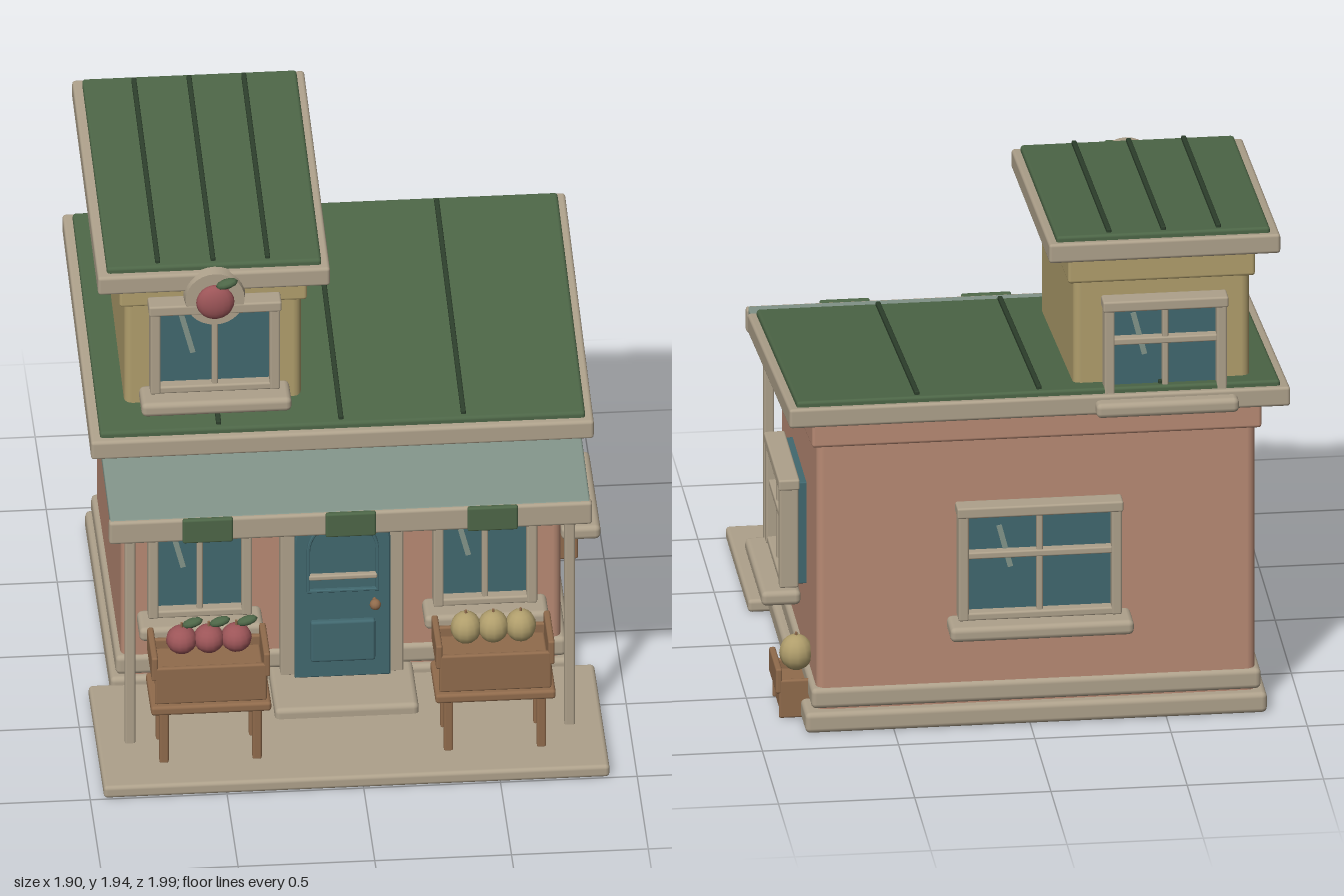
import * as THREE from 'three';
import { RoundedBoxGeometry } from 'three/addons/geometries/RoundedBoxGeometry.js';

const mat = (name, color, side = THREE.FrontSide) => {
  const m = new THREE.MeshStandardMaterial({ color, side });
  m.name = name;
  return m;
};

export function createModel() {
  const wallPink = mat('pink plaster', 0xb88a74);
  const wallYellow = mat('straw yellow', 0xb09e6c);
  const trim = mat('stone trim', 0xaea18b);
  const green = mat('roof green', 0x4d6647);
  const seam = mat('dark green', 0x2d3f2c);
  const awningGrey = mat('pale sage', 0x83958a, THREE.DoubleSide);
  const teal = mat('deep teal', 0x41686f);
  const wood = mat('wood brown', 0x906b4c);
  const red = mat('fruit red', 0x9c5558);

  const root = new THREE.Group();
  const group = (name, parent = root) => {
    const g = new THREE.Group();
    g.name = name;
    parent.add(g);
    return g;
  };
  const add = (parent, name, geo, material, x = 0, y = 0, z = 0) => {
    const m = new THREE.Mesh(geo, material);
    m.name = name;
    m.position.set(x, y, z);
    parent.add(m);
    return m;
  };
  // Softly bevelled box given by its min/max ranges
  const box = (parent, name, material, [x0, x1], [y0, y1], [z0, z1], r = 0.008) => {
    const w = x1 - x0, h = y1 - y0, d = z1 - z0;
    const geo = new RoundedBoxGeometry(w, h, d, 2, Math.min(r, w * 0.45, h * 0.45, d * 0.45));
    return add(parent, name, geo, material, (x0 + x1) / 2, (y0 + y1) / 2, (z0 + z1) / 2);
  };
  // Box whose height rises towards the back by the given slope; y range is at mid depth
  const sloped = (parent, name, material, xr, yr, zr, slope, r) => {
    const m = box(parent, name, material, xr, yr, zr, r);
    m.geometry.applyMatrix4(new THREE.Matrix4().set(1, 0, 0, 0, 0, 1, -slope, 0, 0, 0, 1, 0, 0, 0, 0, 1));
    return m;
  };
  // Wall block: level foot, sloping top
  const wall = (name, material, xr, yr, zr, slope) => {
    const m = box(root, name, material, xr, yr, zr, 0.03);
    const p = m.geometry.attributes.position;
    for (let i = 0; i < p.count; i++) {
      if (p.getY(i) > 0) p.setY(i, p.getY(i) - slope * p.getZ(i));
    }
    return m;
  };

  // Ground works
  box(root, 'frontPaving', trim, [-0.95, 0.9], [0, 0.05], [0.29, 1], 0.015);
  box(root, 'houseBase', trim, [-0.87, 0.825], [0, 0.08], [-0.865, 0.305], 0.02);
  box(root, 'plinth', trim, [-0.85, 0.8], [0.085, 0.165], [-0.84, 0.295], 0.02);
  box(root, 'doorStep', trim, [-0.29, 0.236], [0.03, 0.09], [0.25, 0.585], 0.02);

  // Ground floor and tower walls with their raised bands under the eaves
  const S = 0.127, T = 0.097;
  wall('mainWalls', wallPink, [-0.83, 0.78], [0.05, 1.16], [-0.825, 0.28], S);
  sloped(root, 'mainWallBand', wallPink, [-0.85, 0.8], [1.053, 1.17], [-0.855, 0.3], S, 0.012);
  wall('towerWalls', wallYellow, [-0.81, -0.163], [1.1, 1.79], [-0.82, 0.195], T);
  sloped(root, 'towerWallBand', wallYellow, [-0.83, -0.143], [1.666, 1.79], [-0.825, 0.215], T, 0.012);

  // Sloping roofs: trim slab, green sheet, standing seams
  const roof = (name, xr, y, zr, slope, ribs) => {
    const g = group(name);
    const [x0, x1] = xr, [z0, z1] = zr;
    sloped(g, 'fascia', trim, xr, [y - 0.038, y + 0.038], zr, slope, 0.012);
    sloped(g, 'roofSheet', green, [x0 + 0.035, x1 - 0.03], [y + 0.01, y + 0.06], [z0 + 0.025, z1 - 0.025], slope, 0.012);
    for (const x of ribs) {
      sloped(g, 'roofSeam', seam, [x - 0.009, x + 0.009], [y + 0.04, y + 0.074], [z0 + 0.05, z1 - 0.045], slope, 0.005);
    }
  };
  roof('mainRoof', [-0.947, 0.892], 1.193, [-0.93, 0.385], S, [-0.477, -0.03, 0.418]);
  roof('towerRoof', [-0.914, -0.065], 1.812, [-0.9, 0.287], T, [-0.692, -0.49, -0.29]);

  // Awning with valance, coloured flaps and posts
  const awning = group('awning');
  sloped(awning, 'awningSheet', awningGrey, [-0.905, 0.85], [1.015, 1.05], [0.25, 0.735], 0.098, 0.008);
  box(awning, 'valance', trim, [-0.91, 0.857], [0.93, 1.025], [0.705, 0.745], 0.012);
  for (const x of [-0.55, -0.027, 0.492]) {
    box(awning, 'valanceFlap', green, [x - 0.092, x + 0.092], [0.93, 1.03], [0.735, 0.758], 0.008);
  }
  for (const x of [-0.83, 0.778]) {
    box(awning, 'awningPost', trim, [x - 0.019, x + 0.019], [0.04, 1.02], [0.667, 0.705], 0.008);
  }

  // Window: local z = 0 is the back of the frame; gap is the distance to the wall
  const windowUnit = (name, x, z, angle, w, y0, y1, cross, gap = 0.03) => {
    const g = group(name);
    g.position.set(x, 0, z);
    g.rotation.y = angle;
    const h = w / 2, t = 0.038;
    box(g, 'glass', teal, [-h + 0.015, h - 0.015], [y0 + 0.01, y1 - 0.015], [-gap - 0.005, 0.025], 0.004);
    for (const s of [-1, 1]) {
      const c = s * (h - t / 2);
      box(g, 'frameSide', trim, [c - t / 2, c + t / 2], [y0, y1], [0, 0.07]);
    }
    box(g, 'frameTop', trim, [-h - 0.005, h + 0.005], [y1 - t, y1 + 0.004], [-0.004, 0.074]);
    box(g, 'frameFoot', trim, [-h + 0.01, h - 0.01], [y0, y0 + 0.03], [0, 0.066]);
    box(g, 'mullion', trim, [-0.011, 0.011], [y0, y1 - 0.01], [0.015, 0.055], 0.006);
    if (cross) {
      const c = y0 + (y1 - y0) * 0.57;
      box(g, 'crossBar', trim, [-h + 0.02, h - 0.02], [c - 0.013, c + 0.013], [0.015, 0.06], 0.006);
    }
    box(g, 'sill', trim, [-h - 0.037, h + 0.037], [y0 - 0.055, y0 + 0.002], [-0.005, 0.14], 0.02);
    const glare = add(g, 'glassGlint', new THREE.BoxGeometry(0.02, 0.17, 0.004), awningGrey,
      -w * 0.21, y0 + (y1 - y0) * 0.62, 0.027);
    glare.rotation.z = 0.25;
  };
  windowUnit('frontLeftWindow', 0.495, 0.312, 0, 0.38, 0.375, 0.82, false);
  windowUnit('frontRightWindow', -0.548, 0.312, 0, 0.38, 0.375, 0.82, false);
  windowUnit('sideWindow', 0.81, -0.29, Math.PI / 2, 0.46, 0.435, 0.86, true);
  windowUnit('backWindow', -0.03, -0.85, Math.PI, 0.6, 0.44, 0.885, true);
  windowUnit('towerFrontWindow', -0.487, 0.24, 0, 0.475, 1.295, 1.67, false, 0.045);
  windowUnit('towerBackWindow', -0.492, -0.838, Math.PI, 0.45, 1.295, 1.67, true);

  // Arched outline, optionally cut by a smaller arch
  const arch = (hw, y0, spring, rise = hw) => {
    const s = new THREE.Shape();
    s.moveTo(-hw, y0).lineTo(hw, y0).lineTo(hw, spring);
    s.absellipse(0, spring, hw, rise, 0, Math.PI, false);
    s.lineTo(-hw, y0);
    return s;
  };
  const slab = (shape, depth, bevel = 0.006) => new THREE.ExtrudeGeometry(shape, {
    depth: depth - bevel, bevelEnabled: true, bevelSize: bevel, bevelThickness: bevel,
    bevelOffset: -bevel, bevelSegments: 1, curveSegments: 16,
  });

  // Door
  const door = group('door');
  door.position.set(-0.026, 0, 0);
  const surround = arch(0.225, 0.085, 0.68);
  surround.holes.push(arch(0.172, 0.086, 0.668));
  add(door, 'doorSurround', slab(surround, 0.08), trim, 0, 0, 0.267);
  add(door, 'doorLeaf', slab(arch(0.175, 0.088, 0.667), 0.11), teal, 0, 0, 0.262);
  const rim = arch(0.132, 0.46, 0.637);
  rim.holes.push(arch(0.12, 0.472, 0.637));
  add(door, 'upperPanelRim', slab(rim, 0.016, 0.003), teal, 0, 0, 0.37);
  box(door, 'lowerPanel', teal, [-0.118, 0.118], [0.165, 0.338], [0.36, 0.392], 0.01);
  box(door, 'doorRail', trim, [-0.125, 0.125], [0.517, 0.537], [0.365, 0.392], 0.006);
  add(door, 'doorKnob', new THREE.SphereGeometry(0.021, 12, 8), wood, 0.116, 0.417, 0.41);
  const stem = add(door, 'knobStem', new THREE.CylinderGeometry(0.008, 0.008, 0.04, 8), wood, 0.116, 0.417, 0.385);
  stem.rotation.x = Math.PI / 2;

  // Fruit
  const leaf = (parent, x, y, z, k = 1) => {
    const m = add(parent, 'leaf', new THREE.SphereGeometry(0.04 * k, 10, 6), green, x, y, z);
    m.scale.set(1, 0.42, 0.55);
    m.rotation.z = 0.3;
  };
  const apple = (parent, x, y, z, r) => {
    add(parent, 'apple', new THREE.SphereGeometry(r, 14, 10), red, x, y, z).scale.y = 0.94;
    add(parent, 'stalk', new THREE.CylinderGeometry(0.005, 0.005, 0.03, 6), wood, x, y + r, z);
    leaf(parent, x + 0.04, y + r + 0.012, z);
  };
  const melon = (parent, x, y, z, r) => {
    add(parent, 'melon', new THREE.SphereGeometry(r, 12, 10), wallYellow, x, y, z).scale.y = 1.1;
    add(parent, 'stalk', new THREE.CylinderGeometry(0.005, 0.006, 0.02, 6), wood, x, y + r * 1.1, z);
  };

  // Open crate centred on x and z, with tall ends
  const crate = (parent, y, w, d, h, tall) => {
    const a = w / 2, b = d / 2;
    box(parent, 'crateBody', wood, [-a + 0.01, a - 0.01], [y, y + h * 0.75], [-b + 0.012, b - 0.012]);
    for (const s of [-1, 1]) {
      box(parent, 'crateBoard', wood, [-a, a], [y, y + h], [s * (b - 0.01) - 0.01, s * (b - 0.01) + 0.01]);
      box(parent, 'crateEnd', wood, [s * a - 0.012, s * a + 0.012], [y + tall * 0.5, y + tall], [-b, b]);
    }
  };

  // Produce stands
  const stand = (name, x, fruit) => {
    const g = group(name);
    g.position.set(x, 0, 0.75);
    box(g, 'tableTop', wood, [-0.22, 0.22], [0.267, 0.305], [-0.125, 0.125], 0.012);
    for (const sx of [-0.17, 0.17]) for (const sz of [-0.08, 0.08]) {
      box(g, 'tableLeg', wood, [sx - 0.017, sx + 0.017], [0.045, 0.28], [sz - 0.017, sz + 0.017]);
    }
    crate(g, 0.307, 0.41, 0.22, 0.155, 0.2);
    for (const i of [-1, 0, 1]) fruit(g, i * 0.1, 0.523, 0.01, 0.057);
  };
  stand('appleStand', -0.547, apple);
  stand('melonStand', 0.493, melon);

  // Crate against the side wall
  const sideCrate = group('sideCrate');
  sideCrate.position.set(0.795, 0, -0.607);
  crate(sideCrate, 0.005, 0.22, 0.22, 0.15, 0.195);
  melon(sideCrate, 0.035, 0.22, 0, 0.062);

  // Round fruit sign on the tower
  const sign = group('fruitSign');
  sign.position.set(-0.488, 1.697, 0.29);
  const disc = add(sign, 'signDisc', new THREE.CylinderGeometry(0.108, 0.113, 0.045, 28), trim);
  disc.rotation.x = Math.PI / 2;
  const signApple = add(sign, 'signApple', new THREE.SphereGeometry(0.07, 16, 12), red, 0, -0.006, 0.03);
  signApple.scale.z = 0.5;
  leaf(sign, 0.042, 0.073, 0.035, 1.05);

  return root;
}
